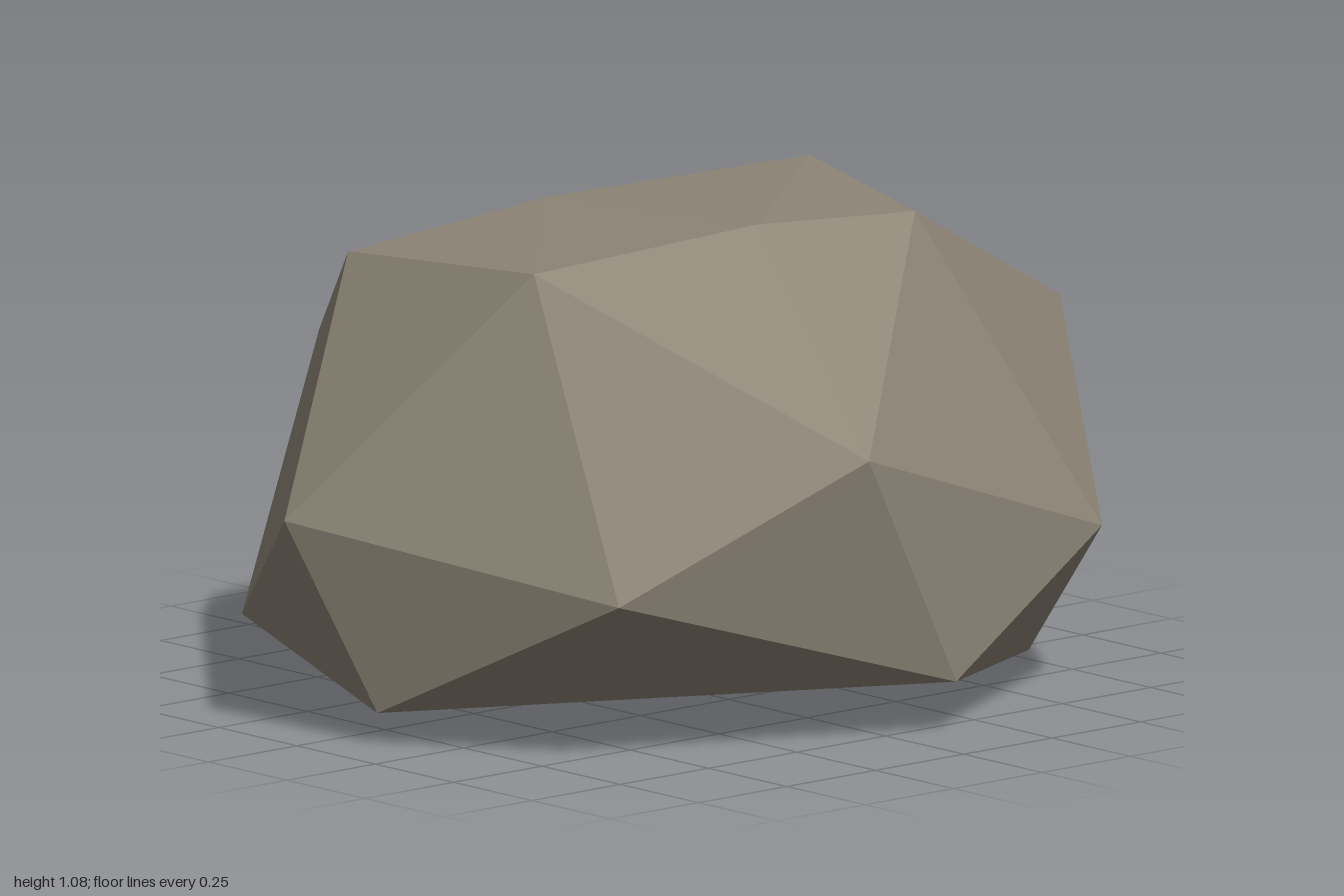
import * as THREE from 'three';
import { ConvexGeometry } from 'three/addons/geometries/ConvexGeometry.js';

export function createModel() {
  const group = new THREE.Group();
  group.name = 'rock';

  const stone = new THREE.MeshStandardMaterial({ color: 0x8f8778 });
  stone.name = 'stone';
  stone.flatShading = true;

  // Corners of the boulder, ring by ring
  const crown = [
    [0.35, 1.025, 0.64], [0.475, 1.08, 0.12], [0.505, 1.055, -0.3], [-0.18, 1.025, -0.61],
    [-0.72, 0.885, -0.42], [-0.72, 0.69, 0.3], [-0.39, 0.94, 0.51], [-0.28, 1.01, 0.05],
  ];
  const waist = [
    [-0.04, 0.48, 1], [0.69, 0.365, 0.7], [0.89, 0.64, 0.17], [0.73, 0.365, -0.63],
    [0.245, 0.745, -0.94], [-0.56, 0.485, -0.87], [-0.89, 0.26, -0.17], [-0.56, 0.15, 0.66],
  ];
  const base = [
    [0.11, 0.07, 0.87], [0.84, 0.115, -0.12], [0.36, 0.02, -0.75], [0.08, 0.115, -1],
    [-0.68, 0, -0.68], [-0.6, 0.03, 0.08], [0.05, 0.03, 0.3],
  ];

  // Faceted shell wrapped around the corners
  const points = [...crown, ...waist, ...base].map((p) => new THREE.Vector3(...p));
  const boulder = new THREE.Mesh(new ConvexGeometry(points), stone);
  boulder.name = 'boulder';
  group.add(boulder);
  return group;
}
